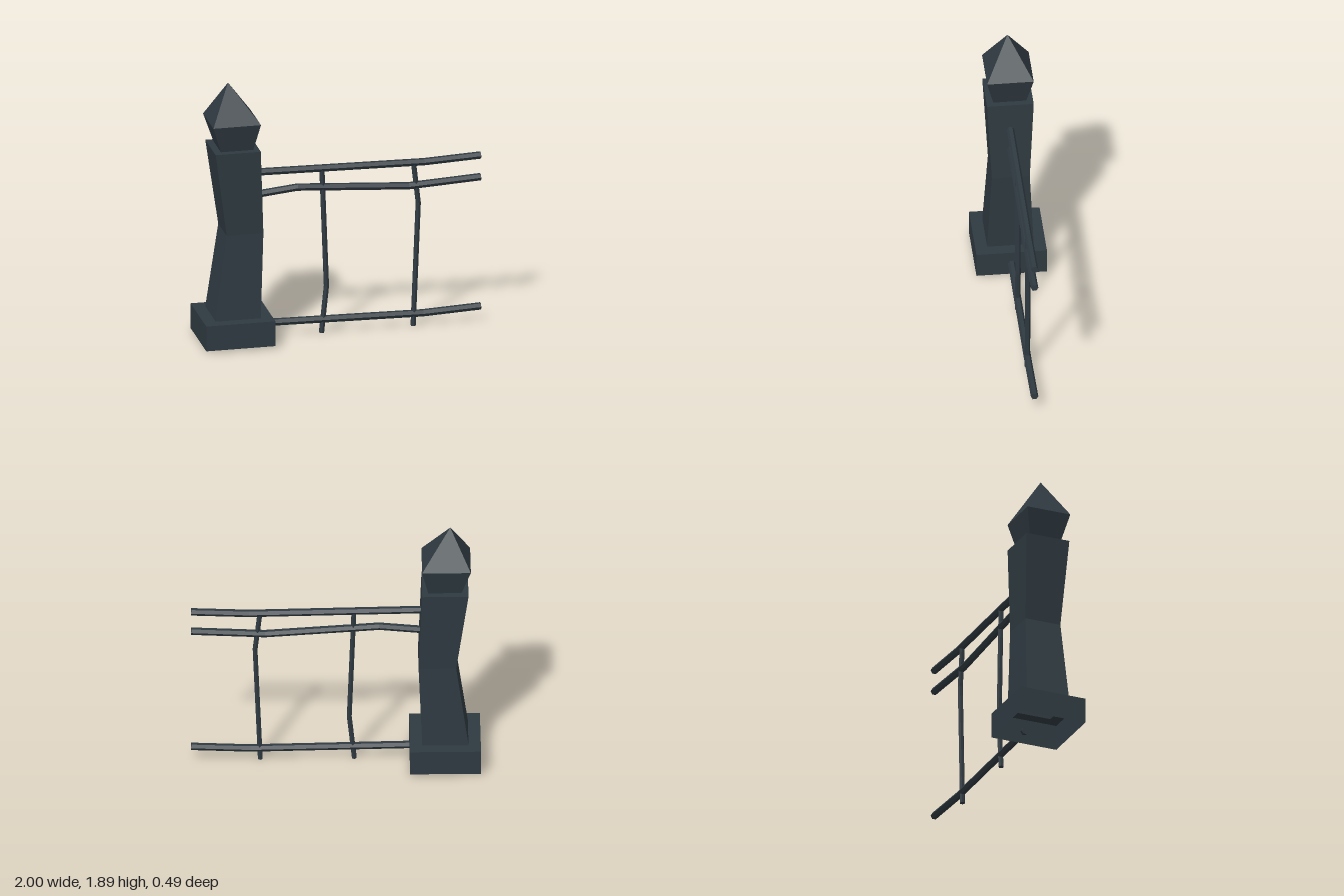
import * as THREE from 'three';

const iron = new THREE.MeshStandardMaterial({ color: 0x2f3a41, flatShading: true, side: THREE.DoubleSide });
iron.name = 'dark slate iron';

// Skin a series of equal-sized rings with flat faces, optionally closing either end
function loft(rings, capStart, capEnd) {
  const pos = [];
  const tri = (...pts) => pts.forEach((p) => pos.push(p.x, p.y, p.z));
  const n = rings[0].length;
  for (let r = 0; r + 1 < rings.length; r++) {
    for (let i = 0; i < n; i++) {
      const j = (i + 1) % n;
      const [a, b, c, d] = [rings[r][i], rings[r][j], rings[r + 1][j], rings[r + 1][i]];
      tri(a, b, c);
      tri(a, c, d);
    }
  }
  const first = rings[0], last = rings[rings.length - 1];
  for (let i = 1; i + 1 < n; i++) {
    if (capStart) tri(first[0], first[i + 1], first[i]);
    if (capEnd) tri(last[0], last[i], last[i + 1]);
  }
  const geometry = new THREE.BufferGeometry();
  geometry.setAttribute('position', new THREE.Float32BufferAttribute(pos, 3));
  geometry.computeVertexNormals();
  return geometry;
}

// Rectangular ring at height y, from x0 to x1 and -z to z
const rect = ([y, x0, x1, z]) => [
  new THREE.Vector3(x0, y, z), new THREE.Vector3(x1, y, z),
  new THREE.Vector3(x1, y, -z), new THREE.Vector3(x0, y, -z),
];

// Six-sided bar following a bent path in the fence plane
function bar(points, radius) {
  const path = points.map(([x, y]) => new THREE.Vector3(x, y, 0));
  const rings = path.map((p, k) => {
    const prev = path[Math.max(k - 1, 0)], next = path[Math.min(k + 1, path.length - 1)];
    const t = next.clone().sub(prev).normalize();
    return Array.from({ length: 6 }, (_, i) => {
      const a = Math.PI / 6 + (i * Math.PI) / 3;
      const u = Math.cos(a) * radius;
      return new THREE.Vector3(p.x - t.y * u, p.y + t.x * u, Math.sin(a) * radius);
    });
  });
  return loft(rings, true, true);
}

export function createModel() {
  const model = new THREE.Group();
  model.name = 'fenceSection';
  const add = (name, geometry) => {
    const mesh = new THREE.Mesh(geometry, iron);
    mesh.name = name;
    model.add(mesh);
  };

  // Hollow base, open underneath, with a ledge around the post
  add('base', loft([
    [0.015, -1, -0.51, 0.245], [0.197, -1, -0.51, 0.245], [0.197, -0.915, -0.595, 0.162],
  ].map(rect), false, false));

  // Post with a crooked waist
  add('post', loft([
    [0.197, -0.915, -0.595, 0.162], [0.81, -0.83, -0.57, 0.132], [1.42, -0.915, -0.595, 0.162],
  ].map(rect), false, true));

  // Pointed finial with its tip leaning off centre
  add('finial', loft([
    [1.421, -0.867, -0.637, 0.115], [1.615, -0.931, -0.594, 0.162], [1.887, -0.791, -0.791, 0],
  ].map(rect), false, false));

  // Horizontal rails
  add('topRail', bar([[-0.6, 1.214], [0.6, 1.195], [1, 1.212]], 0.026));
  add('middleRail', bar([[-0.6, 1.05], [-0.3, 1.08], [0.49, 1.027], [1, 1.053]], 0.026));
  add('bottomRail', bar([[-0.53, 0.104], [0.59, 0.086], [1, 0.104]], 0.026));

  // Bent uprights
  add('innerUpright', bar([[-0.125, 1.2], [-0.093, 0.34], [-0.128, 0]], 0.019));
  add('outerUpright', bar([[0.525, 1.19], [0.558, 0.9], [0.522, 0]], 0.019));

  return model;
}
